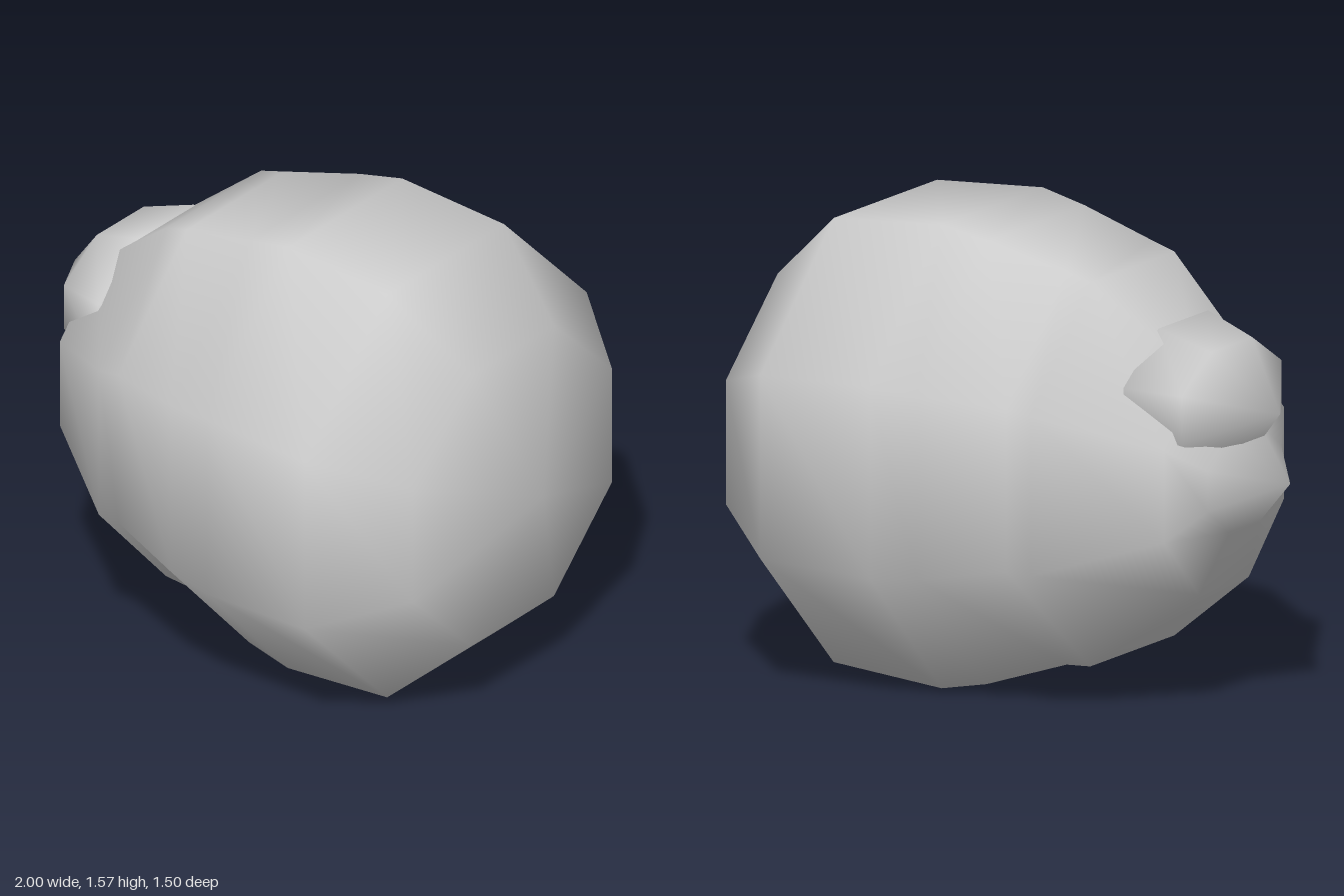
import * as THREE from 'three';
import { mergeVertices } from 'three/addons/utils/BufferGeometryUtils.js';

const SIDES = 8;

// Smooth skin over octagonal sections listed from +x to -x: [x, centreY, halfHeight, halfDepth]
function loft(name, sections, material) {
  const positions = [], index = [];
  const k = 1 / Math.cos(Math.PI / SIDES);
  sections.forEach(([x, cy, hy, hz], i) => {
    for (let j = 0; j < SIDES; j++) {
      const a = ((j + 0.5) / SIDES) * Math.PI * 2;
      positions.push(x, cy + Math.cos(a) * hy * k, Math.sin(a) * hz * k);
      if (i === sections.length - 1) continue;
      const n = (j + 1) % SIDES;
      const p = i * SIDES + j, q = i * SIDES + n;
      index.push(p, p + SIDES, q, q, p + SIDES, q + SIDES);
    }
  });
  let geometry = new THREE.BufferGeometry();
  geometry.setAttribute('position', new THREE.Float32BufferAttribute(positions, 3));
  geometry.setIndex(index);
  geometry = mergeVertices(geometry, 1e-4);
  geometry.computeVertexNormals();
  const mesh = new THREE.Mesh(geometry, material);
  mesh.name = name;
  return mesh;
}

export function createModel() {
  const group = new THREE.Group();
  group.name = 'roundedBody';
  const grey = new THREE.MeshStandardMaterial({ color: 0xcccccc });

  // Main body, blunt at +x and tapering to a small tip at -x
  group.add(loft('body', [
    [1, 0.79, 0, 0],
    [0.87, 0.787, 0.505, 0.53],
    [0.59, 0.787, 0.752, 0.75],
    [0.17, 0.787, 0.785, 0.735],
    [0, 0.787, 0.75, 0.71],
    [-0.29, 0.8, 0.665, 0.62],
    [-0.38, 0.79, 0.65, 0.61],
    [-0.74, 0.785, 0.375, 0.36],
    [-0.82, 0.785, 0.165, 0.22],
    [-1, 0.79, 0, 0],
  ], grey));

  // Bump above the tip
  group.add(loft('upperBump', [
    [-0.4, 1.02, 0, 0],
    [-0.58, 1.02, 0.27, 0.36],
    [-0.77, 1.035, 0.195, 0.3],
    [-0.96, 1.02, 0, 0],
  ], grey));

  return group;
}
